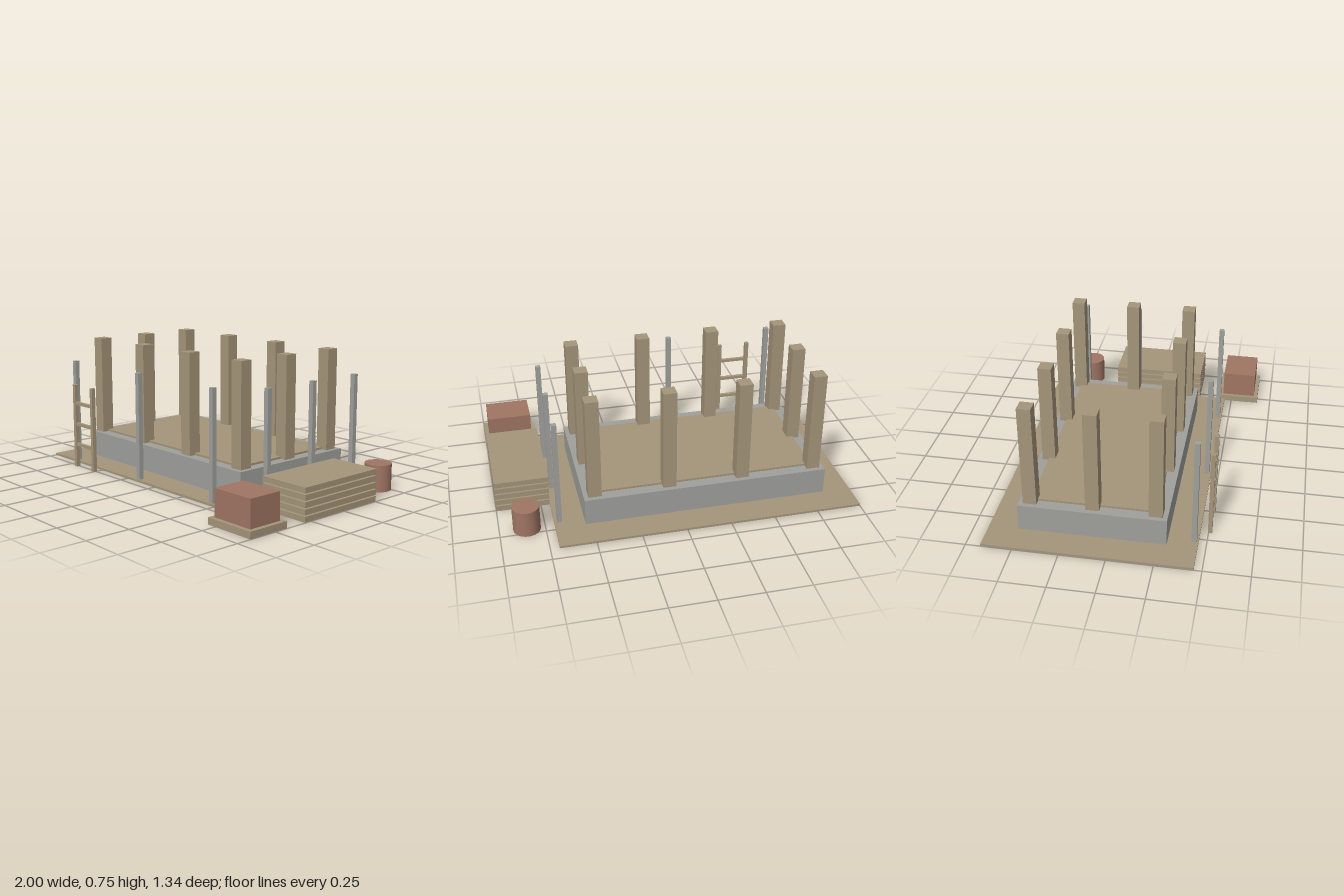
import * as THREE from 'three';

const mat = (name, color) => {
  const m = new THREE.MeshStandardMaterial({ color });
  m.name = name;
  return m;
};

export function createModel() {
  const wood = mat('wood', 0xa5957a);
  const concrete = mat('grey concrete and steel', 0x9fa09c);
  const clay = mat('red clay', 0x9f7563);
  const model = new THREE.Group();

  const add = (name, geometry, material, parent = model) => {
    const mesh = new THREE.Mesh(geometry, material);
    mesh.name = name;
    parent.add(mesh);
    return mesh;
  };
  const group = (name) => {
    const g = new THREE.Group();
    g.name = name;
    model.add(g);
    return g;
  };
  // Box given by its extents on each axis
  const box = (name, [x0, x1], [y0, y1], [z0, z1], material, parent) => {
    const mesh = add(name, new THREE.BoxGeometry(x1 - x0, y1 - y0, z1 - z0), material, parent);
    mesh.position.set((x0 + x1) / 2, (y0 + y1) / 2, (z0 + z1) / 2);
    return mesh;
  };
  // Square upright centred on x, z
  const upright = (name, x, z, w, y0, y1, material, parent) =>
    box(name, [x - w / 2, x + w / 2], [y0, y1], [z - w / 2, z + w / 2], material, parent);

  // Ground sheet
  box('ground', [-1, 0.7], [0, 0.0125], [-0.668, 0.457], wood);

  // Foundation wall ring, its footing just showing beneath the ground
  const rect = (Type, x0, x1, z0, z1) => new Type([
    new THREE.Vector2(x0, -z0), new THREE.Vector2(x0, -z1),
    new THREE.Vector2(x1, -z1), new THREE.Vector2(x1, -z0),
  ]);
  const ring = rect(THREE.Shape, -0.84, 0.535, -0.505, 0.295);
  ring.holes.push(rect(THREE.Path, -0.777, 0.473, -0.442, 0.232));
  const wall = new THREE.ExtrudeGeometry(ring, { depth: 0.166, bevelEnabled: false });
  wall.rotateX(-Math.PI / 2);
  add('foundation', wall, concrete).position.y = -0.001;

  // Floor deck inside the foundation
  box('floor', [-0.777, 0.473], [0.155, 0.177], [-0.442, 0.232], wood);

  // Columns around the edge of the floor
  const columns = group('columns');
  const xs = [-0.777, -0.36, 0.056, 0.473];
  const zs = [-0.442, -0.105, 0.232];
  xs.forEach((x, i) => zs.forEach((z, j) => {
    if (j === 1 && i > 0 && i < 3) return;
    upright('column', x, z, 0.074, 0.15, 0.75, wood, columns);
  }));

  // Scaffold poles along the front and the left side
  const poles = group('scaffoldPoles');
  for (const x of [-0.777, -0.152, 0.473]) upright('pole', x, 0.434, 0.028, 0.001, 0.626, concrete, poles);
  for (const z of zs) upright('pole', 0.671, z, 0.028, 0.001, 0.626, concrete, poles);

  // Ladder
  const ladder = group('ladder');
  for (const x of [-0.679, -0.503]) upright('ladderRail', x, 0.508, 0.023, 0, 0.5, wood, ladder);
  for (const y of [0.137, 0.262, 0.389]) {
    box('rung', [-0.668, -0.514], [y - 0.009, y + 0.009], [0.499, 0.517], wood, ladder);
  }

  // Stack of boards
  const stack = group('boardStack');
  for (let i = 0; i < 5; i++) {
    const y = i * 0.0375;
    box('board', [0.7, 1], [y, y + 0.03], [-0.254, 0.294], wood, stack);
  }

  // Brick block on a pallet
  box('pallet', [0.7, 1], [0, 0.0375], [0.42, 0.668], wood);
  box('brickBlock', [0.72, 0.975], [0.0375, 0.1875], [0.446, 0.644], clay);

  // Barrel
  add('barrel', new THREE.CylinderGeometry(0.075, 0.075, 0.15, 32), clay).position.set(0.85, 0.075, -0.454);

  return model;
}
